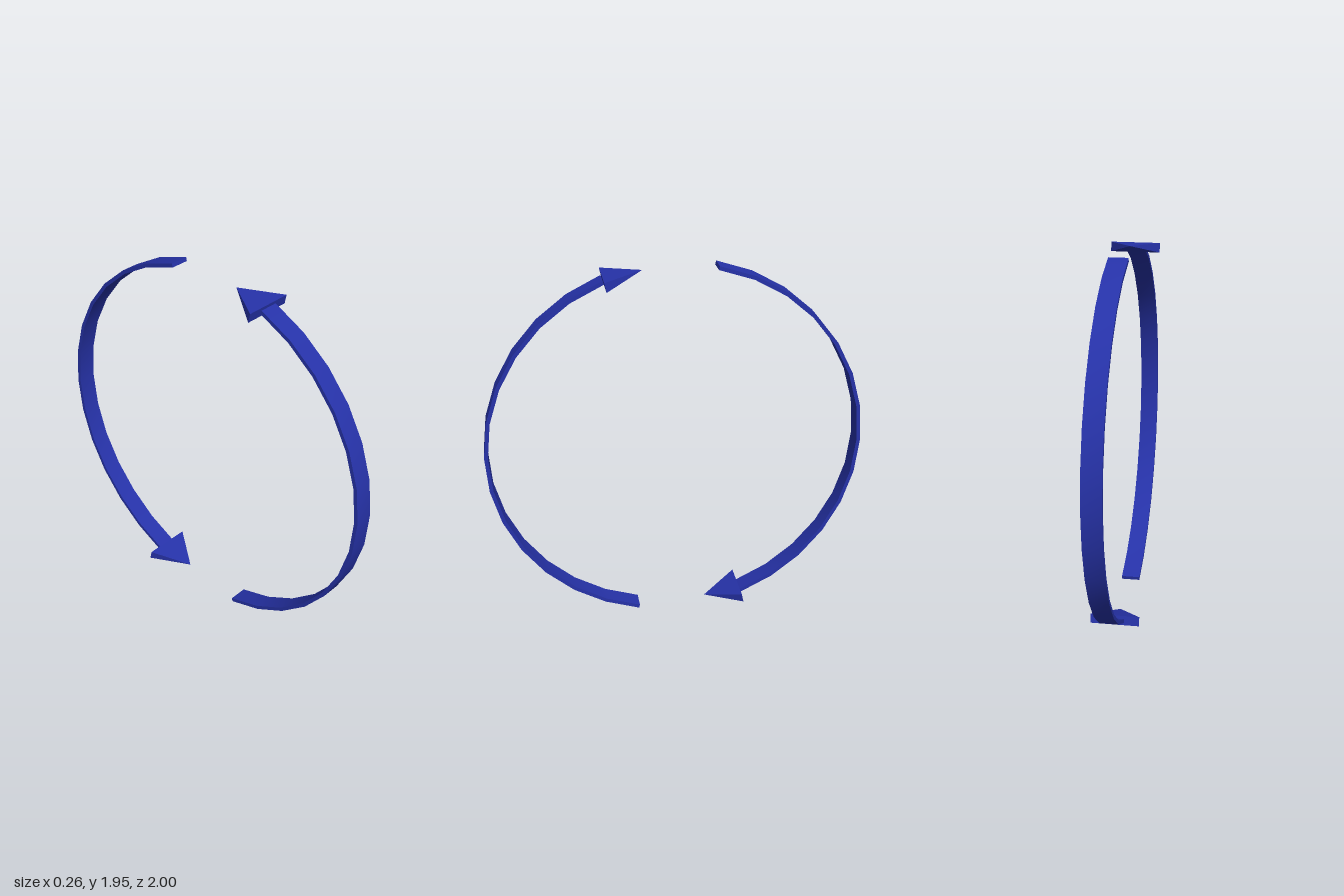
import * as THREE from 'three';
import { toCreasedNormals } from 'three/addons/utils/BufferGeometryUtils.js';

const rad = THREE.MathUtils.degToRad;
const START = rad(-77.7);      // tail angle of the curved band
const STEP = rad(11.25);
const SEGMENTS = 13;
const CENTRE_Y = -Math.sin(START);

// Thin flat band following a faceted arc in the upright plane
function bandGeometry() {
  const points = [];
  const arcPoint = (r, i) => {
    const a = START + i * STEP;
    points.push(new THREE.Vector2(r * Math.cos(a), r * Math.sin(a)));
  };
  for (let i = 0; i <= SEGMENTS; i++) arcPoint(1, i);
  for (let i = SEGMENTS; i >= 0; i--) arcPoint(0.98, i);
  const geometry = new THREE.ExtrudeGeometry(new THREE.Shape(points), { depth: 0.1, bevelEnabled: false });
  geometry.translate(0, 0, -0.05).rotateY(-Math.PI / 2);
  return toCreasedNormals(geometry, rad(30));
}

// Flattened four-sided pyramid, tip towards the back and slightly up
function headGeometry() {
  const geometry = new THREE.ConeGeometry(Math.SQRT2, 0.2, 4);
  geometry.rotateY(Math.PI / 4).scale(0.13, 1, 0.025).translate(0, 0.1, 0);
  geometry.rotateX(rad(-78)).translate(0, 0.92, 0.36);
  return toCreasedNormals(geometry, rad(20));
}

export function createModel() {
  const blue = new THREE.MeshStandardMaterial({ color: 0x2632a8 });
  blue.name = 'deepBlue';
  const band = bandGeometry();
  const head = headGeometry();

  const model = new THREE.Group();
  model.name = 'circlingArrows';

  // Two identical arrows, half a turn apart about the side-to-side axis
  ['frontArrow', 'backArrow'].forEach((name, i) => {
    const arrow = new THREE.Group();
    arrow.name = name;
    const bandMesh = new THREE.Mesh(band, blue);
    bandMesh.name = 'curvedBand';
    const headMesh = new THREE.Mesh(head, blue);
    headMesh.name = 'arrowHead';
    arrow.add(bandMesh, headMesh);
    arrow.position.y = CENTRE_Y;
    arrow.rotation.x = i * Math.PI;
    model.add(arrow);
  });
  return model;
}
